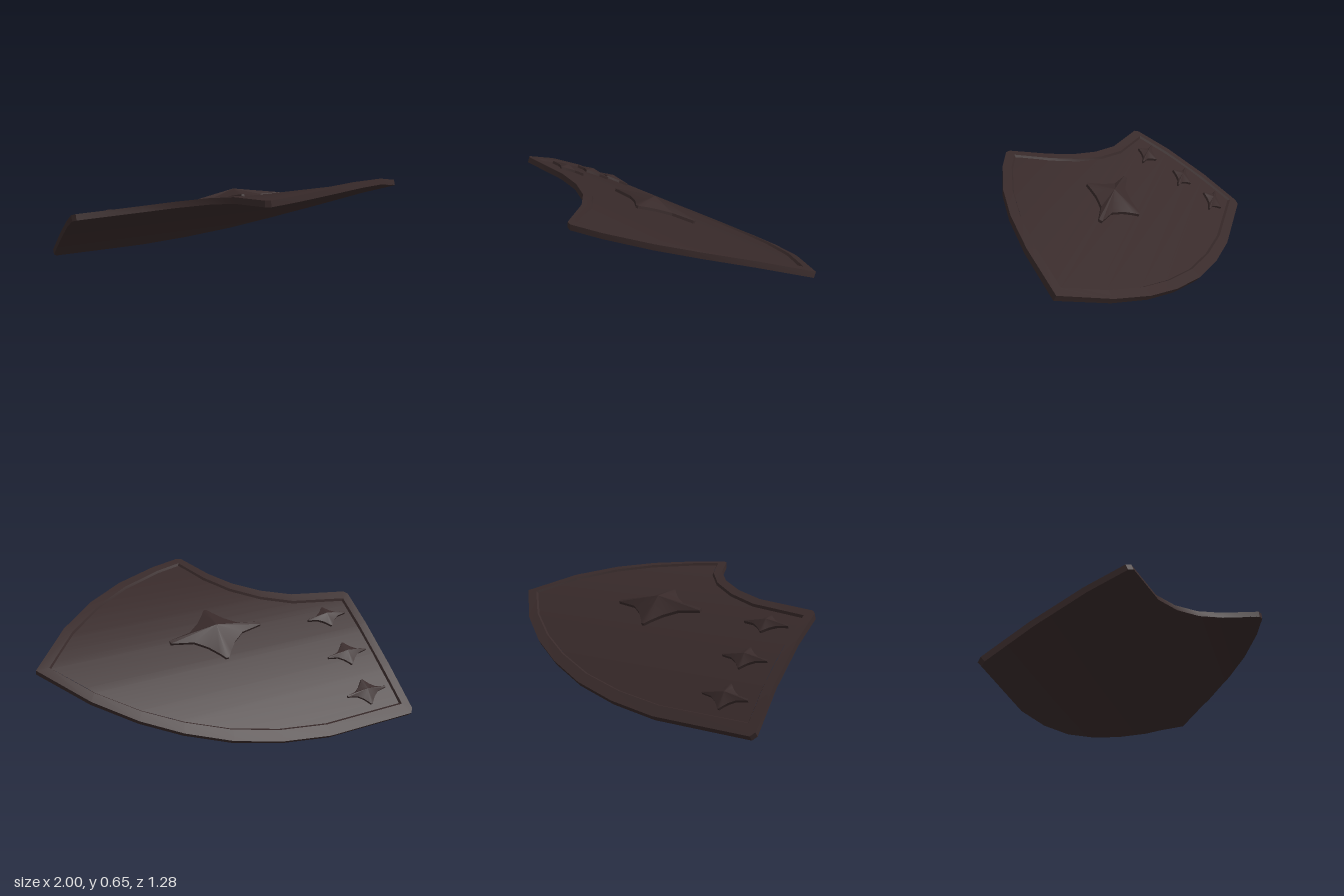
import * as THREE from 'three';
import { toCreasedNormals } from 'three/addons/utils/BufferGeometryUtils.js';

const RIM = 0.034, PANEL = 0.021; // heights above the underside

// Plan outline [x, z, blunted corner], clockwise from above
const OUTLINE = [
  [-1, -0.64, 1], [-0.44, -0.64], [-0.16, -0.61], [0.11, -0.555], [0.36, -0.47], [0.57, -0.37],
  [0.78, -0.23], [1, -0.01], [0.78, 0.21], [0.57, 0.37], [0.36, 0.49], [0.11, 0.59],
  [-0.085, 0.642, 1], [-0.185, 0.42], [-0.285, 0.3], [-0.43, 0.2], [-0.6, 0.13],
  [-0.957, 0.072, 1], [-0.962, -0.15], [-0.975, -0.4],
];

// The plate is bent along z only; h is measured along its normal
const slope = z => 0.5 - 0.616 * z;
function bend(x, z, h) {
  const s0 = slope(z);
  const zb = z + RIM * s0 / Math.hypot(1, s0);
  const s = slope(zb), len = Math.hypot(1, s);
  return [x, 0.424 + 0.5 * zb - 0.308 * zb * zb + h / len, zb - h * s / len];
}

function makeMesh(name, triangles, material) {
  const geometry = new THREE.BufferGeometry();
  geometry.setAttribute('position', new THREE.Float32BufferAttribute(triangles.flat(2), 3));
  const mesh = new THREE.Mesh(toCreasedNormals(geometry, 0.35), material);
  mesh.name = name;
  return mesh;
}

// Skin a chain of closed rings
function loft(rings) {
  const tris = [];
  for (let r = 0; r < rings.length - 1; r++) {
    const a = rings[r], b = rings[r + 1];
    a.forEach((p, i) => {
      const j = (i + 1) % a.length;
      tris.push([p, b[i], b[j]], [p, b[j], a[j]]);
    });
  }
  return tris;
}

// Fill an outline with strips running across x so that it follows the bend
function fill(points, h, down = false) {
  const zs = [...new Set(points.map(p => +p[1].toFixed(5)))].sort((a, b) => a - b);
  const rows = zs.map(z => {
    const xs = [];
    points.forEach((p, i) => {
      const q = points[(i + 1) % points.length];
      if (Math.abs(p[1] - z) < 1e-4) xs.push(p[0]);
      if ((p[1] - z) * (q[1] - z) < 0) xs.push(p[0] + (q[0] - p[0]) * (z - p[1]) / (q[1] - p[1]));
    });
    return [bend(Math.min(...xs), z, h), bend(Math.max(...xs), z, h)];
  });
  const tris = [];
  for (let i = 0; i < rows.length - 1; i++) {
    const [l0, r0] = rows[i], [l1, r1] = rows[i + 1];
    tris.push([l0, l1, r1], [l0, r1, r0]);
  }
  return down ? tris.map(t => [t[0], t[2], t[1]]) : tris;
}

// Mitred inset; blunted corners yield two points
function inset(distance, blunt) {
  const out = [];
  const n = OUTLINE.length;
  OUTLINE.forEach(([x, z, corner], i) => {
    const p = OUTLINE[(i + n - 1) % n], q = OUTLINE[(i + 1) % n];
    const a = new THREE.Vector2(x - p[0], z - p[1]).normalize();
    const b = new THREE.Vector2(q[0] - x, q[1] - z).normalize();
    const k = distance / (1 + a.dot(b));
    const c = [x - (a.y + b.y) * k, z + (a.x + b.x) * k];
    if (corner) {
      out.push([c[0] - a.x * blunt, c[1] - a.y * blunt], [c[0] + b.x * blunt, c[1] + b.y * blunt]);
    } else out.push(c);
  });
  return out;
}

// Raised four-pointed star with a central peak
function star(name, cx, cz, a, b, edge, peak, material) {
  const quarter = [[1, 0.06], [0.54, 0.2], [0.29, 0.5], [0.13, 0.79], [0.03, 1]];
  const plan = [];
  for (const [sx, sz] of [[1, 1], [-1, 1], [-1, -1], [1, -1]]) {
    const side = quarter.map(([u, v]) => [cx + sx * u * a, cz + sz * v * b]);
    plan.push(...(sx * sz > 0 ? side : side.reverse()));
  }
  const base = plan.map(([x, z]) => bend(x, z, PANEL - 0.004));
  const top = plan.map(([x, z]) => bend(x, z, PANEL + edge));
  const apex = bend(cx, cz + peak * 0.25, PANEL + peak);
  const tris = loft([base, top]);
  top.forEach((p, i) => tris.push([p, apex, top[(i + 1) % top.length]]));
  return makeMesh(name, tris, material);
}

export function createModel() {
  const group = new THREE.Group();
  group.name = 'curvedPlate';
  const metal = new THREE.MeshStandardMaterial({ color: 0x382a2a });
  metal.name = 'darkBrownMetal';

  // Edge wall, flat rim and the step down to the panel
  const outer = inset(0, 0.02), rimInner = inset(0.05, 0), panelEdge = inset(0.058, 0);
  const ring = (points, h) => points.map(([x, z]) => bend(x, z, h));
  group.add(makeMesh('rim', loft([
    ring(outer, 0), ring(outer, RIM), ring(rimInner, RIM), ring(panelEdge, PANEL),
  ]), metal));

  group.add(makeMesh('panel', fill(panelEdge, PANEL), metal));
  group.add(makeMesh('underside', fill(outer, 0, true), metal));

  // One large star and a row of three small ones
  group.add(star('largeStar', -0.033, -0.015, 0.28, 0.155, 0.016, 0.066, metal));
  [[-0.76, -0.495], [-0.748, -0.29], [-0.74, -0.06]].forEach(([x, z], i) =>
    group.add(star('smallStar' + (i + 1), x, z, 0.127, 0.06, 0.014, 0.034, metal)));

  return group;
}
